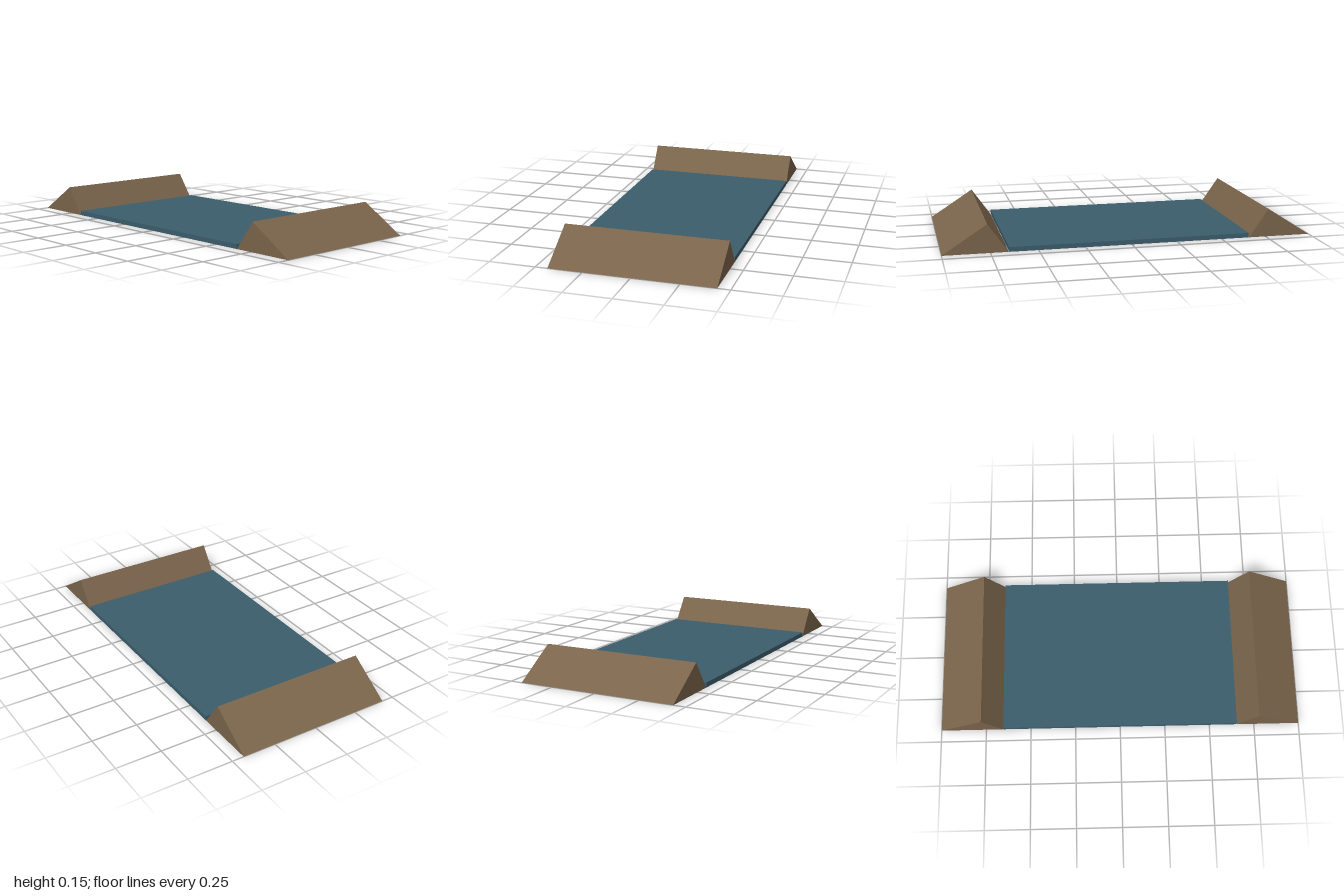
import * as THREE from 'three';

const WIDTH = 0.868;

export function createModel() {
  const model = new THREE.Group();
  model.name = 'channel';

  const earth = new THREE.MeshStandardMaterial({ color: 0x7a644b });
  earth.name = 'earthBrown';
  const water = new THREE.MeshStandardMaterial({ color: 0x3b5d6c });
  water.name = 'waterBlue';

  // Bank: triangular section, gentle outside and steep inside, run across the width
  const section = new THREE.Shape([
    new THREE.Vector2(0.655, 0),
    new THREE.Vector2(1, 0),
    new THREE.Vector2(0.763, 0.153),
  ]);
  const bankGeometry = new THREE.ExtrudeGeometry(section, { depth: WIDTH, bevelEnabled: false });
  bankGeometry.translate(0, 0, -WIDTH / 2).rotateY(-Math.PI / 2);

  // Front bank and its mirrored partner at the back
  ['frontBank', 'backBank'].forEach((name, i) => {
    const bank = new THREE.Mesh(bankGeometry, earth);
    bank.name = name;
    bank.rotation.y = i * Math.PI;
    model.add(bank);
  });

  // Flat bed between the banks
  const bed = new THREE.Mesh(new THREE.BoxGeometry(WIDTH, 0.025, 1.306), water);
  bed.name = 'waterBed';
  bed.position.y = 0.0125;
  model.add(bed);

  return model;
}
